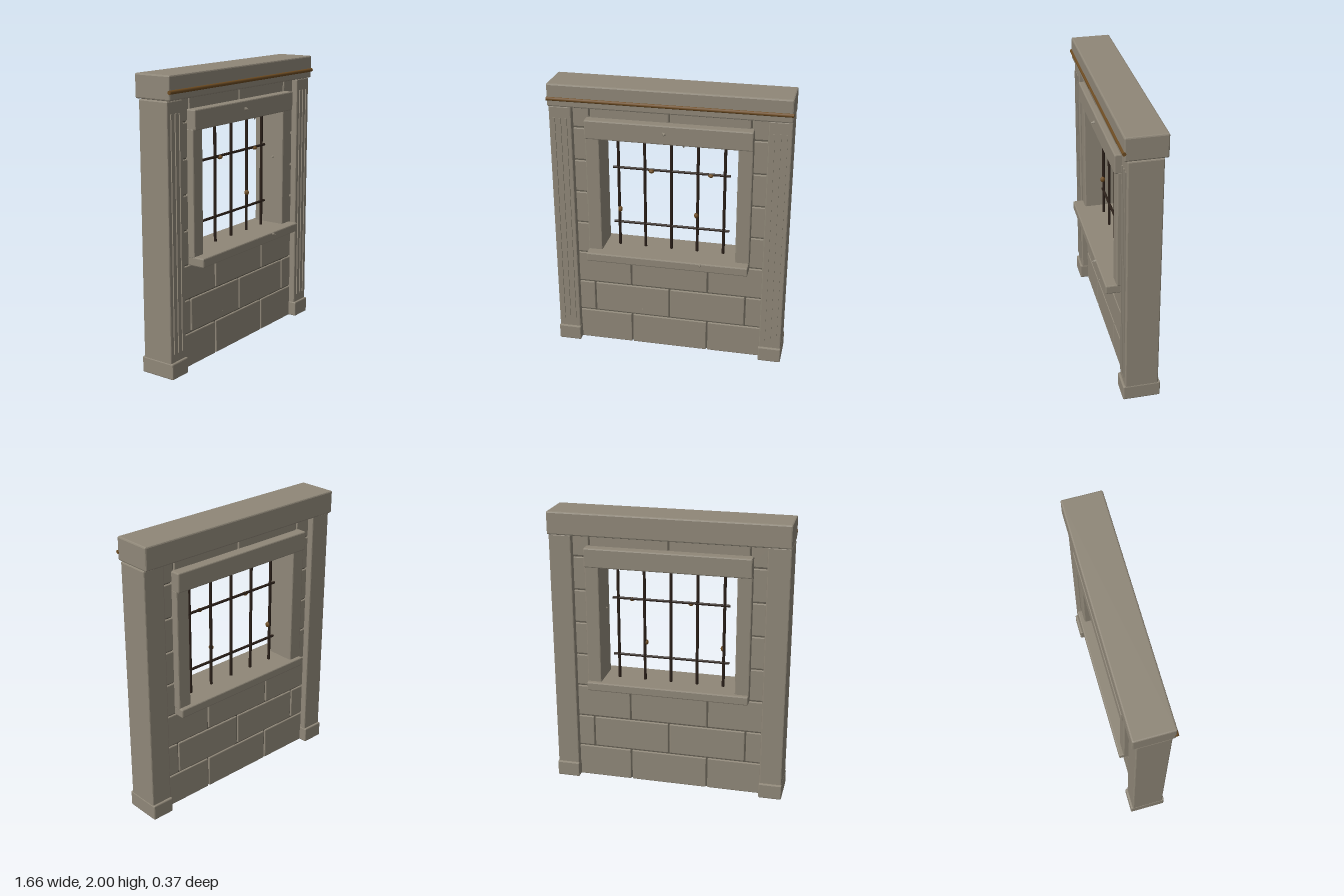
import * as THREE from 'three';
import { RoundedBoxGeometry } from 'three/addons/geometries/RoundedBoxGeometry.js';

const mat = (name, color) => {
  const m = new THREE.MeshStandardMaterial({ color });
  m.name = name;
  return m;
};

export function createModel() {
  const root = new THREE.Group();
  root.name = 'barredWindowWall';
  const stone = mat('stone', 0x8f8778);
  const mortar = mat('mortar', 0x5f5a4f);
  const iron = mat('darkIron', 0x2b2019);
  const rust = mat('rust', 0x6e4c22);

  const add = (name, geo, material, x = 0, y = 0, z = 0, parent = root) => {
    const m = new THREE.Mesh(geo, material);
    m.name = name;
    m.position.set(x, y, z);
    parent.add(m);
    return m;
  };

  // Chamfered box given by its min and max on each axis
  const slab = (name, x0, x1, y0, y1, z0, z1, bevel = 0.008, parent = root) => {
    const g = new RoundedBoxGeometry(x1 - x0, y1 - y0, z1 - z0, 1, bevel);
    g.computeVertexNormals();
    return add(name, g, stone, (x0 + x1) / 2, (y0 + y1) / 2, (z0 + z1) / 2, parent);
  };
  const plain = (name, x0, x1, y0, y1, z0, z1, material, parent = root) =>
    add(name, new THREE.BoxGeometry(x1 - x0, y1 - y0, z1 - z0), material,
      (x0 + x1) / 2, (y0 + y1) / 2, (z0 + z1) / 2, parent);

  // Block courses in running bond, leaving the window open
  const wall = new THREE.Group();
  wall.name = 'wall';
  root.add(wall);
  const back = -0.105, front = 0.035, gap = 0.005, course = 0.24, edge = 0.69;
  for (let row = 0; row < 8; row++) {
    const y0 = row * course, y1 = Math.min(y0 + course, 1.85);
    let spans;
    if (row > 2 && row < 7) spans = [[-edge, -0.53], [0.53, edge]];
    else if (row % 2) spans = [[-edge, -0.555], [-0.555, 0], [0, 0.555], [0.555, edge]];
    else spans = [[-edge, -0.28], [-0.28, 0.28], [0.28, edge]];
    for (const [a, b] of spans) {
      slab('block', a + gap, b - gap, y0 + (row ? gap : 0), y1 - gap, back, front, 0.006, wall);
    }
  }

  // Mortar core behind the joints
  const mb = back + 0.012, mf = front - 0.012;
  plain('mortarBelow', -0.68, 0.68, 0.005, 0.74, mb, mf, mortar, wall);
  plain('mortarAbove', -0.68, 0.68, 1.66, 1.85, mb, mf, mortar, wall);
  for (const s of [-1, 1]) {
    plain('mortarSide', s * 0.605 - 0.07, s * 0.605 + 0.07, 0.74, 1.66, mb, mf, mortar, wall);
  }

  // Pillars with plinths and three raised ribs each
  for (const s of [-1, 1]) {
    const pillar = new THREE.Group();
    pillar.name = s > 0 ? 'leftPillar' : 'rightPillar';
    root.add(pillar);
    const c = s * 0.749;
    slab('shaft', c - 0.079, c + 0.079, 0.09, 1.838, -0.15, 0.08, 0.008, pillar);
    slab('plinth', c - 0.082, c + 0.082, 0, 0.112, -0.165, 0.095, 0.008, pillar);
    for (const dx of [-0.042, 0, 0.042]) {
      plain('rib', c + dx - 0.007, c + dx + 0.007, 0.17, 1.755, 0.075, 0.088, stone, pillar);
    }
    // Window jamb
    const j = s * 0.528;
    slab('jamb', j - 0.05, j + 0.05, 0.77, 1.635, -0.155, 0.085);
  }

  // Lintel, sill and top beam
  slab('lintel', -0.577, 0.577, 1.625, 1.76, -0.175, 0.103);
  slab('sill', -0.577, 0.577, 0.718, 0.782, -0.185, 0.16);
  slab('topBeam', -0.83, 0.83, 1.84, 2, -0.177, 0.102, 0.01);

  // Bronze rail along the beam
  const rail = add('beamRail', new THREE.CylinderGeometry(0.013, 0.013, 1.664, 8), rust, 0, 1.895, 0.102);
  rail.rotation.z = Math.PI / 2;

  // Window grille
  const grille = new THREE.Group();
  grille.name = 'grille';
  grille.position.z = -0.035;
  root.add(grille);
  for (let i = -2; i <= 2; i++) {
    add('uprightBar', new THREE.CylinderGeometry(0.0105, 0.0105, 0.86, 8), iron, i * 0.188, 1.2, 0, grille);
  }
  for (const y of [0.96, 1.38]) {
    add('crossBar', new THREE.CylinderGeometry(0.0095, 0.0095, 0.83, 8), iron, 0, y, 0, grille)
      .rotation.z = Math.PI / 2;
  }

  // Rust lumps on the bars
  const lump = new THREE.SphereGeometry(0.018, 8, 6);
  for (const [x, y, sx, sy] of [[-0.14, 1.372, 1.1, 0.8], [0.278, 1.374, 1.1, 0.7],
    [-0.368, 1.062, 0.9, 1.2], [0.18, 1.063, 0.9, 1.1]]) {
    add('rustLump', lump, rust, x, y, 0.008, grille).scale.set(sx, sy, 1);
  }

  // Small stone chips standing out of the masonry
  const chip = (x, y, z, r, h, dir) => {
    const m = add('stoneChip', new THREE.ConeGeometry(r, h, 5), stone, x, y, z);
    m.quaternion.setFromUnitVectors(new THREE.Vector3(0, 1, 0), new THREE.Vector3(...dir));
  };
  chip(-0.022, 1.702, 0.115, 0.016, 0.03, [0, 0, 1]);
  chip(0.242, 0.77, 0.17, 0.014, 0.03, [0, 0, 1]);
  chip(-0.2, 0.29, 0.036, 0.006, 0.012, [0, 0, 1]);
  chip(0.11, 1.62, 0.09, 0.012, 0.024, [0, -1, 0]);
  chip(-0.19, 1.62, 0.03, 0.012, 0.022, [0, -1, 0]);
  chip(0.472, 1.283, 0.0, 0.013, 0.022, [-1, 0, 0]);

  return root;
}
